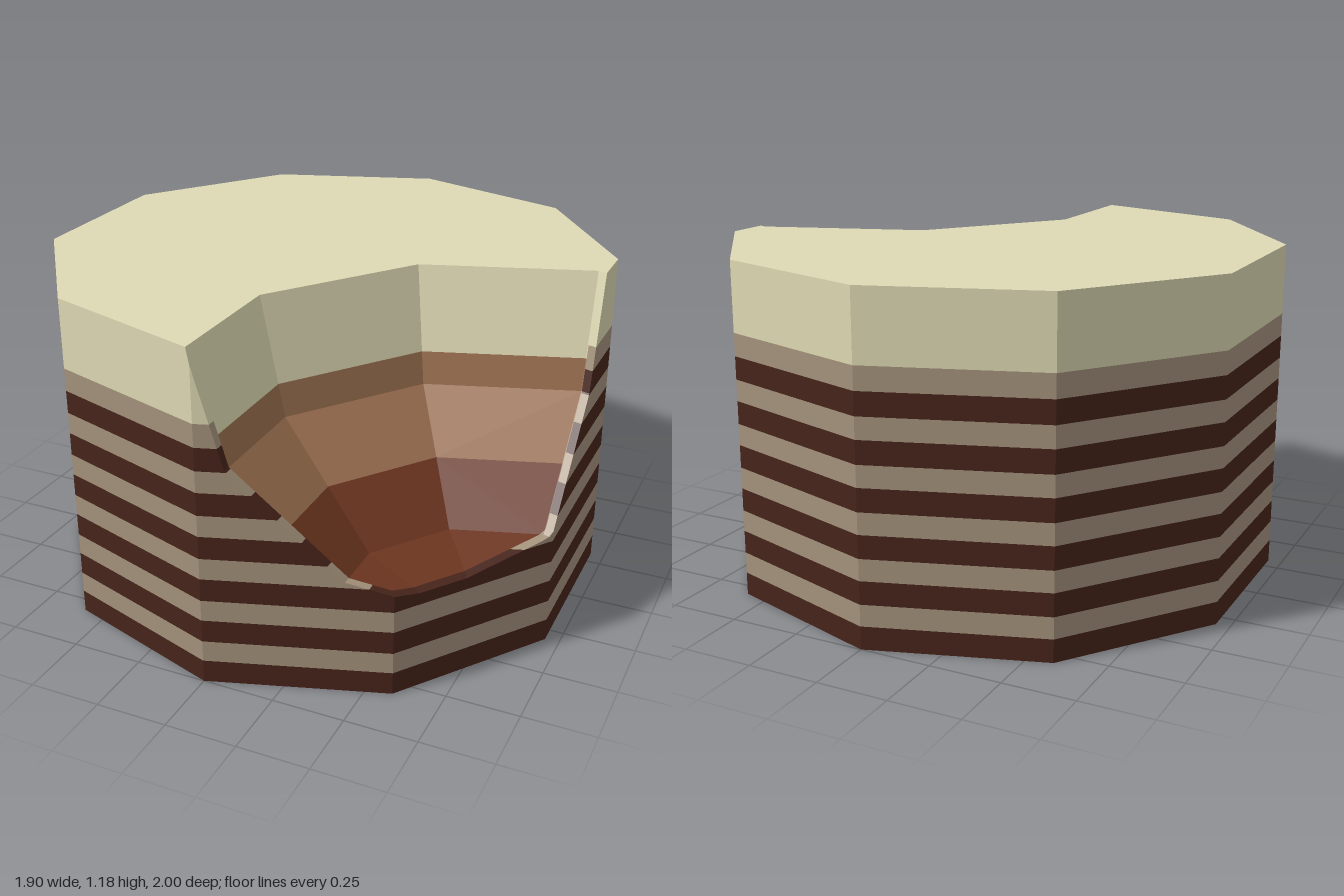
import * as THREE from 'three';

const SIDES = 10, HEIGHT = 1.18, EPS = 1e-6;
const CREAM = 0xdedab4, TAN = 0xa5937c, DARK = 0x47241a, MID = 0x9c7050, DEEP = 0x6e3620;

// Layers as [name, colour, bottom, top]
const layers = [];
for (let i = 0; i < 6; i++) {
  const y = i * 0.155;
  layers.push(['chocolateLayer', DARK, y, y + 0.08], ['spongeLayer', TAN, y + 0.08, i === 5 ? 0.935 : y + 0.155]);
}
layers.push(['icing', CREAM, 0.935, HEIGHT]);
const fillings = [
  ['lowerFilling', DEEP, 0, 0.59], ['upperFilling', MID, 0.59, 0.89], ['icing', CREAM, 0.89, HEIGHT],
];

const ring = (r, y, cx = 0, cz = 0) => Array.from({ length: SIDES }, (_, i) => {
  const a = (i / SIDES) * Math.PI * 2;
  return new THREE.Vector3(cx + r * Math.sin(a), y, cz + r * Math.cos(a));
});

// Quads between two rings, facing outward
const wall = (lo, hi) => lo.map((p, i) => {
  const j = (i + 1) % SIDES;
  return [p, lo[j], hi[j], hi[i]];
});

const prism = (r, y0, y1) => {
  const lo = ring(r, y0), hi = ring(r, y1);
  return [...wall(lo, hi), hi, [...lo].reverse()];
};

// Lower half of a faceted ball: the shape of the bite
function biteFacets() {
  const R = 1.01, x = 0.92, y = 1.285, z = 0.82;
  const [r1, r2, r3] = [1, 2, 3].map(k => {
    const t = (k / 6) * Math.PI;
    return ring(R * Math.sin(t), y - R * Math.cos(t), x, z);
  });
  const pole = new THREE.Vector3(x, y - R, z);
  const cap = r1.map((p, i) => [pole, r1[(i + 1) % SIDES], p]);
  return [...cap, ...wall(r1, r2), ...wall(r2, r3)];
}

const planesOf = faces => faces.map(f => new THREE.Plane().setFromCoplanarPoints(f[0], f[1], f[2]));

// Cut a convex polygon by a plane into its front and back pieces
function split(poly, plane) {
  const front = [], back = [];
  poly.forEach((a, i) => {
    const b = poly[(i + 1) % poly.length];
    const da = plane.distanceToPoint(a), db = plane.distanceToPoint(b);
    if (da >= -EPS) front.push(a);
    if (da <= EPS) back.push(a);
    if ((da > EPS && db < -EPS) || (da < -EPS && db > EPS)) {
      const p = a.clone().lerp(b, da / (da - db));
      front.push(p);
      back.push(p);
    }
  });
  const inFront = poly.some(p => plane.distanceToPoint(p) > EPS);
  const behind = poly.some(p => plane.distanceToPoint(p) < -EPS);
  return { front: inFront ? front : [], back: behind || !inFront ? back : [] };
}

// Separate a polygon into the part inside a convex solid and the pieces outside
function carve(poly, planes) {
  const outside = [];
  let inside = poly;
  for (const plane of planes) {
    const { front, back } = split(inside, plane);
    if (front.length > 2) outside.push(front);
    inside = back;
    if (inside.length < 3) return { inside: null, outside: [poly] };
  }
  return { inside, outside };
}

// Keep the part of a polygon between two heights
function slice(poly, y0, y1) {
  const below = split(poly, new THREE.Plane(new THREE.Vector3(0, 1, 0), -y1)).back;
  if (below.length < 3) return [];
  return split(below, new THREE.Plane(new THREE.Vector3(0, -1, 0), y0)).back;
}

function polygonsToGeometry(polys) {
  const pos = [];
  for (const p of polys) {
    for (let i = 1; i < p.length - 1; i++) {
      for (const v of [p[0], p[i], p[i + 1]]) pos.push(v.x, v.y, v.z);
    }
  }
  const g = new THREE.BufferGeometry();
  g.setAttribute('position', new THREE.Float32BufferAttribute(pos, 3));
  g.computeVertexNormals();
  return g;
}

export function createModel() {
  const group = new THREE.Group();
  group.name = 'bittenLayerCake';
  const addMesh = (name, color, polys) => {
    if (!polys.length) return;
    const mesh = new THREE.Mesh(polygonsToGeometry(polys),
      new THREE.MeshStandardMaterial({ color, flatShading: true }));
    mesh.name = name;
    group.add(mesh);
  };

  const bite = biteFacets();
  const bitePlanes = planesOf(bite);
  const cake = prism(1, 0, HEIGHT);
  const cakePlanes = planesOf(cake);
  const corePlanes = planesOf(prism(0.97, -1, HEIGHT + 1));

  // Bite surface: filling in the core, layers showing in the thin rind
  const core = [], rind = [];
  for (const f of bite) {
    const { inside } = carve([...f].reverse(), cakePlanes);
    if (!inside) continue;
    const cut = carve(inside, corePlanes);
    if (cut.inside) core.push(cut.inside);
    rind.push(...cut.outside);
  }

  // Striped side walls with the bite removed
  for (const [name, color, y0, y1] of layers) {
    const sides = wall(ring(1, y0), ring(1, y1)).flatMap(f => carve(f, bitePlanes).outside);
    const edge = rind.map(f => slice(f, y0, y1)).filter(f => f.length > 2);
    addMesh(name, color, [...sides, ...edge]);
  }

  // Filling exposed in the bite
  for (const [name, color, y0, y1] of fillings) {
    addMesh(name + 'InBite', color, core.map(f => slice(f, y0, y1)).filter(f => f.length > 2));
  }

  // Top icing and base
  addMesh('topIcing', CREAM, carve(cake[SIDES], bitePlanes).outside);
  addMesh('base', CREAM, [cake[SIDES + 1]]);
  return group;
}
